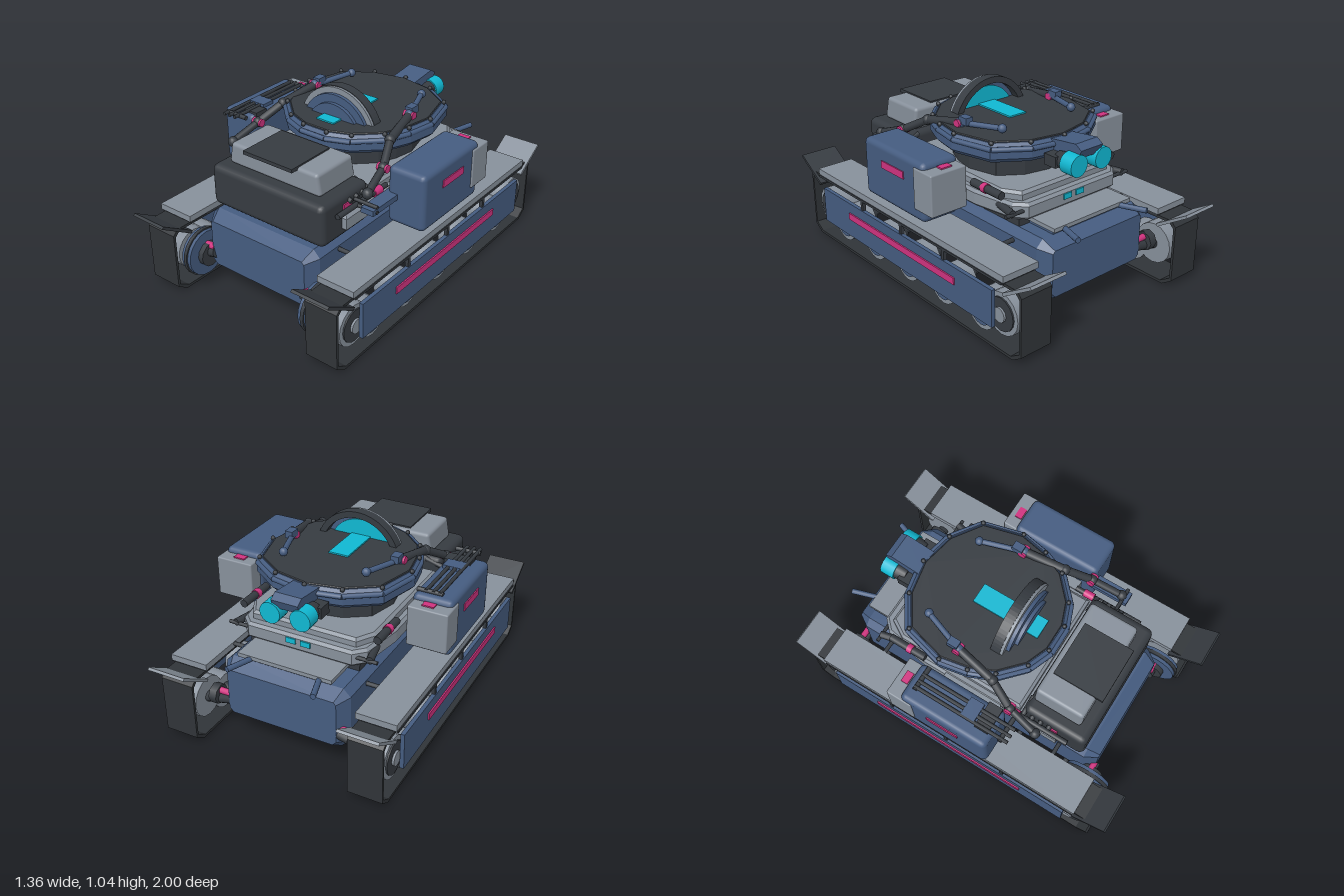
import * as THREE from 'three';
import { RoundedBoxGeometry } from 'three/addons/geometries/RoundedBoxGeometry.js';

const mat = (name, color, side = THREE.FrontSide) => {
  const m = new THREE.MeshStandardMaterial({ color, side });
  m.name = name;
  return m;
};

export function createModel() {
  const root = new THREE.Group();
  root.name = 'trackedVehicle';
  const navy = mat('navy', 0x455c80), grey = mat('grey', 0x87909b), dark = mat('charcoal', 0x363b41),
    black = mat('trackBlack', 0x303438), pink = mat('magenta', 0xd0337f), cyan = mat('cyan', 0x10b8d2);

  // Helpers
  const add = (name, geo, m, p = [0, 0, 0]) => {
    const mesh = new THREE.Mesh(geo, m);
    mesh.name = name;
    mesh.position.set(...p);
    root.add(mesh);
    return mesh;
  };
  // box given by its min / max corners, optionally rounded
  const box = (name, m, x0, x1, y0, y1, z0, z1, r = 0) => {
    const s = [Math.abs(x1 - x0), y1 - y0, z1 - z0];
    return add(name, r ? new RoundedBoxGeometry(...s, 2, r) : new THREE.BoxGeometry(...s), m,
      [(x0 + x1) / 2, (y0 + y1) / 2, (z0 + z1) / 2]);
  };
  // cylinder between two points
  const rod = (name, m, a, b, r, r2 = r, n = 12) => {
    const A = new THREE.Vector3(...a), B = new THREE.Vector3(...b), d = B.clone().sub(A);
    const mesh = add(name, new THREE.CylinderGeometry(r2, r, d.length(), n), m, A.clone().add(B).multiplyScalar(0.5).toArray());
    mesh.quaternion.setFromUnitVectors(new THREE.Vector3(0, 1, 0), d.normalize());
    return mesh;
  };
  const shape = pts => new THREE.Shape(pts.map(p => new THREE.Vector2(...p)));
  // profile in (z, y) extruded across x
  const across = (name, m, sh, x0, x1) => {
    const g = new THREE.ExtrudeGeometry(sh, { depth: x1 - x0, bevelEnabled: false });
    return add(name, g.rotateY(-Math.PI / 2), m, [x1, 0, 0]);
  };
  // plan in (x, z) extruded upwards with a chamfer inside the outline
  const plan = (name, m, pts, y0, y1, b = 0) => {
    const g = new THREE.ExtrudeGeometry(shape(pts), {
      depth: y1 - y0 - 2 * b, bevelEnabled: b > 0, bevelSize: b, bevelThickness: b, bevelOffset: -b, bevelSegments: 1,
    });
    return add(name, g.rotateX(Math.PI / 2), m, [0, y1 - b, 0]);
  };
  const mirrored = pts => [...pts, ...pts.slice().reverse().filter(p => p[0] > 0).map(([x, z]) => [-x, z])];

  // Hull: chamfered octagonal section
  const hullShape = shape([[-0.31, 0.13], [0.31, 0.13], [0.36, 0.18], [0.36, 0.44], [0.32, 0.48], [-0.32, 0.48], [-0.36, 0.44], [-0.36, 0.18]]);
  add('hull', new THREE.ExtrudeGeometry(hullShape, {
    depth: 1.42, bevelSize: 0.045, bevelOffset: -0.045, bevelThickness: 0.07, bevelSegments: 1,
  }), navy, [0, 0, -0.72]);

  // Running gear, both sides
  const outer = [[0.86, 0], [0.92, 0.04], [0.92, 0.36], [0.89, 0.39], [-0.89, 0.39], [-0.92, 0.36], [-0.92, 0.04], [-0.86, 0]];
  const inner = outer.map(([z, y]) => [z * 0.985, 0.195 + (y - 0.195) * 0.92]);
  for (const s of [1, -1]) {
    const X = (a, b) => (s > 0 ? [a, b] : [-b, -a]);
    const belt = shape(outer);
    belt.holes.push(new THREE.Path(inner.map(p => new THREE.Vector2(...p))));
    across('trackBelt', black, belt, ...X(0.445, 0.635));
    for (const z of [-0.61, -0.305, 0, 0.305, 0.61]) {
      rod('roadWheel', grey, [s * 0.47, 0.145, z], [s * 0.615, 0.145, z], 0.1, 0.1, 16);
      rod('wheelDisc', navy, [s * 0.615, 0.145, z], [s * 0.622, 0.145, z], 0.075, 0.075, 16);
      rod('wheelHub', dark, [s * 0.41, 0.145, z], [s * 0.47, 0.145, z], 0.025, 0.05);
      rod('axle', dark, [s * 0.33, 0.155, z], [s * 0.47, 0.145, z], 0.016);
    }
    for (const e of [1, -1]) {
      const z = e * 0.76;
      rod('endWheel', grey, [s * 0.47, 0.2, z], [s * 0.615, 0.2, z], 0.115, 0.115, 16);
      rod('endWheelFace', dark, [s * 0.6, 0.2, z], [s * 0.623, 0.2, z], 0.09, 0.09, 16);
      rod('endWheelCap', grey, [s * 0.62, 0.2, z], [s * 0.635, 0.2, z], 0.04);
      rod('endAxle', dark, [s * 0.3, 0.24, z], [s * 0.47, 0.2, z], 0.03);
      rod('axleCollar', pink, [s * 0.31, 0.265, z], [s * 0.385, 0.265, z], 0.018);
      rod('fenderBracket', dark, [s * 0.34, 0.42, e * 0.55], [s * 0.45, 0.42, e * 0.55], 0.012);
      // tilted mud flap
      across('mudFlap', e > 0 ? dark : grey,
        shape([[e * 0.81, 0.33], [e * 1.0, 0.45], [e * 0.99, 0.462], [e * 0.8, 0.345]]), ...X(0.43, 0.65));
    }
    // front drive disc
    rod('driveDisc', navy, [s * 0.37, 0.21, 0.76], [s * 0.43, 0.21, 0.76], 0.13, 0.13, 20);
    rod('driveDiscRim', dark, [s * 0.39, 0.21, 0.76], [s * 0.41, 0.21, 0.76], 0.138, 0.138, 20);
    rod('driveDiscHub', dark, [s * 0.34, 0.21, 0.76], [s * 0.445, 0.21, 0.76], 0.07);
    rod('rearHub', dark, [s * 0.385, 0.24, -0.76], [s * 0.43, 0.24, -0.76], 0.055, 0.055, 8);

    // Fender, skirt and trim
    box('fender', grey, s * 0.43, s * 0.65, 0.4, 0.435, -0.81, 0.81);
    box('fenderRail', dark, s * 0.44, s * 0.655, 0.387, 0.4, -0.8, 0.8);
    across('sideSkirt', navy, shape([[-0.74, 0.13], [0.75, 0.13], [0.75, 0.335], [-0.74, 0.335]]), ...X(0.638, 0.66));
    box('skirtStripe', pink, s * 0.66, s * 0.668, 0.24, 0.278, -0.46, 0.48);
    for (const z of [-0.36, 0, 0.36]) box('skirtPost', dark, s * 0.635, s * 0.655, 0.33, 0.39, z - 0.01, z + 0.01);

    // Side pods
    box('sidePod', navy, s * 0.45, s * 0.672, 0.485, 0.805, -0.24, 0.275, 0.03);
    box('podRearCase', grey, s * 0.46, s * 0.68, 0.55, 0.775, -0.317, -0.168, 0.008);
    box('podStripe', pink, s * 0.67, s * 0.678, 0.68, 0.72, -0.08, 0.11);
    box('podCaseTab', pink, s * 0.525, s * 0.59, 0.774, 0.782, -0.285, -0.245);
    box('podMount', grey, s * 0.37, s * 0.46, 0.52, 0.61, -0.15, 0.2);

    // Jointed arms over the turret rim
    const arm = [[0.45, 0.72, 0.44], [0.42, 0.78, 0.27], [0.36, 0.86, 0.13], [0.32, 0.9, -0.1], [0.24, 0.915, -0.33]]
      .map(([x, y, z]) => [s * x, y, z]);
    rod('armBase', dark, arm[0], arm[1], 0.02);
    rod('armLower', dark, arm[1], arm[2], 0.022);
    rod('armMiddle', dark, arm[2], arm[3], 0.024);
    rod('armUpper', navy, arm[3], arm[4], 0.015);
    arm.forEach((p, i) => add('armJoint', new THREE.SphereGeometry(i === 4 ? 0.024 : 0.029, 12, 8), i > 2 ? navy : dark, p));
    for (const i of [1, 3]) rod('armCollar', pink, [arm[i][0] - 0.03, arm[i][1], arm[i][2]], [arm[i][0] + 0.03, arm[i][1], arm[i][2]], 0.022);
    box('armHead', navy, s * 0.29, s * 0.335, 0.9, 0.94, -0.16, -0.1);

    // Front cooling ribs and straps
    for (let i = 0; i < 4; i++) rod('coolingRib', dark, [s * 0.28, 0.7, 0.33 + i * 0.05], [s * 0.385, 0.67, 0.33 + i * 0.05], 0.014);
    box('storageStrap', pink, s * 0.355, s * 0.378, 0.635, 0.67, 0.47, 0.53);
    rod('sidePipe', dark, [s * 0.39, 0.64, 0.2], [s * 0.39, 0.64, 0.6], 0.015);
    rod('sidePipeCollar', pink, [s * 0.39, 0.64, 0.25], [s * 0.39, 0.64, 0.31], 0.022);

    // Rear antennas, brackets and lamps
    rod('antenna', navy, [s * 0.15, 0.5, -0.6], [s * 0.245, 0.512, -0.885], 0.015);
    rod('rearBracket', dark, [s * 0.34, 0.58, -0.36], [s * 0.39, 0.58, -0.58], 0.02);
    rod('rearPipe', dark, [s * 0.39, 0.65, -0.28], [s * 0.39, 0.65, -0.5], 0.022);
    rod('rearPipeCollar', pink, [s * 0.39, 0.65, -0.36], [s * 0.39, 0.65, -0.39], 0.026);
    rod('sensorLens', cyan, [s * 0.085, 0.793, -0.64], [s * 0.085, 0.793, -0.72], 0.058, 0.058, 16);
    rod('sensorBack', dark, [s * 0.085, 0.793, -0.58], [s * 0.085, 0.793, -0.64], 0.04, 0.05, 16);
    box('rearLamp', cyan, s * 0.015, s * 0.07, 0.57, 0.6, -0.61, -0.603);
  }

  // Superstructure: stepped grey decks
  plan('lowerDeck', grey, mirrored([[0, -0.6], [0.3, -0.6], [0.36, -0.54], [0.4, -0.3], [0.4, 0.54], [0, 0.54]]), 0.525, 0.615, 0.015);
  plan('upperDeck', grey, mirrored([[0, -0.55], [0.3, -0.55], [0.36, -0.45], [0.36, 0.3], [0, 0.3]]), 0.6, 0.66, 0.015);
  box('deckBase', dark, -0.32, 0.32, 0.47, 0.53, -0.55, 0.5);
  box('rearPlate', grey, -0.27, 0.27, 0.505, 0.527, -0.75, -0.55);
  box('rearPlateFoot', navy, -0.25, 0.25, 0.47, 0.505, -0.72, -0.55);
  rod('rearBar', dark, [-0.43, 0.575, -0.575], [0.43, 0.575, -0.575], 0.01);

  // Front storage
  box('frontStorage', dark, -0.37, 0.37, 0.485, 0.72, 0.32, 0.69, 0.035);
  const chest = box('storageChest', grey, -0.3, 0.3, 0.72, 0.842, 0.34, 0.62, 0.02);
  const cp = chest.geometry.attributes.position;
  for (let i = 0; i < cp.count; i++) if (cp.getY(i) > 0) cp.setX(i, cp.getX(i) * 0.95);
  box('chestCover', dark, -0.16, 0.16, 0.83, 0.85, 0.37, 0.66);

  // Turret: egg-shaped faceted plate over a dark neck
  const egg = mirrored([[0, -0.545], [0.2, -0.505], [0.37, -0.39], [0.43, -0.16], [0.4, 0], [0.34, 0.14], [0.21, 0.26], [0.08, 0.31]]);
  const scaled = k => egg.map(([x, z]) => [x * k, -0.12 + (z + 0.12) * k]);
  plan('turretNeck', dark, scaled(0.72), 0.64, 0.79);
  plan('turretBody', navy, egg, 0.775, 0.877, 0.025);
  plan('turretTop', dark, scaled(0.93), 0.86, 0.884, 0.004);
  egg.forEach(([x, z], i) => {
    const [x2, z2] = egg[(i + 1) % egg.length];
    rod('rimTube', navy, [x * 0.98, 0.85, z], [x2 * 0.98, 0.85, z2], 0.014, 0.014, 8);
    add('rimBolt', new THREE.SphereGeometry(0.013, 8, 6), dark, [x * 0.96, 0.88, -0.12 + (z + 0.12) * 0.96]);
  });

  // Arched hood with cyan screen
  const arch = (name, m, r, hole, z0, z1) => {
    const sh = new THREE.Shape().absarc(0, 0, r, 0.36, Math.PI - 0.36, false);
    if (hole) sh.absarc(0, 0, hole, Math.PI - 0.36, 0.36, true);
    add(name, new THREE.ExtrudeGeometry(sh, { depth: z1 - z0, bevelEnabled: false, curveSegments: 14 }), m, [0, 0.79, z0]);
  };
  arch('hoodBand', dark, 0.25, 0.215, 0.035, 0.09);
  arch('hoodRim', grey, 0.247, 0.195, 0.09, 0.105);
  arch('hoodShell', navy, 0.215, 0, 0.085, 0.125);
  arch('hoodFront', navy, 0.17, 0, 0.125, 0.145);
  arch('hoodScreen', cyan, 0.19, 0, 0.078, 0.085);
  box('cyanStrip', cyan, -0.057, 0.057, 0.87, 0.892, -0.18, 0.21);

  // Rear sensor mount
  across('sensorMount', navy, shape([[-0.48, 0.8], [-0.48, 0.87], [-0.68, 0.895], [-0.72, 0.87], [-0.7, 0.82], [-0.6, 0.77]]), -0.075, 0.075);
  box('sensorYoke', dark, -0.14, 0.14, 0.76, 0.82, -0.61, -0.53);

  // Equipment on the right pod: rack of rods
  for (const x of [-0.585, -0.55, -0.51]) rod('rackRod', dark, [x, 0.815, -0.2], [x, 0.815, 0.36], 0.01, 0.01, 8);
  for (const z of [-0.19, 0.32]) rod('rackBar', dark, [-0.6, 0.81, z], [-0.46, 0.81, z], 0.013, 0.013, 8);
  box('rackBlock', dark, -0.6, -0.45, 0.775, 0.815, 0.17, 0.25);
  box('rackHead', navy, -0.585, -0.48, 0.8, 0.825, 0.08, 0.16);

  // Equipment ahead of the left pod: rails
  for (const y of [0.64, 0.67]) rod('railRod', dark, [0.38, y, 0.45], [0.52, y, 0.45], 0.01, 0.01, 8);
  box('railPlate', navy, 0.44, 0.515, 0.63, 0.66, 0.25, 0.48);

  return root;
}
